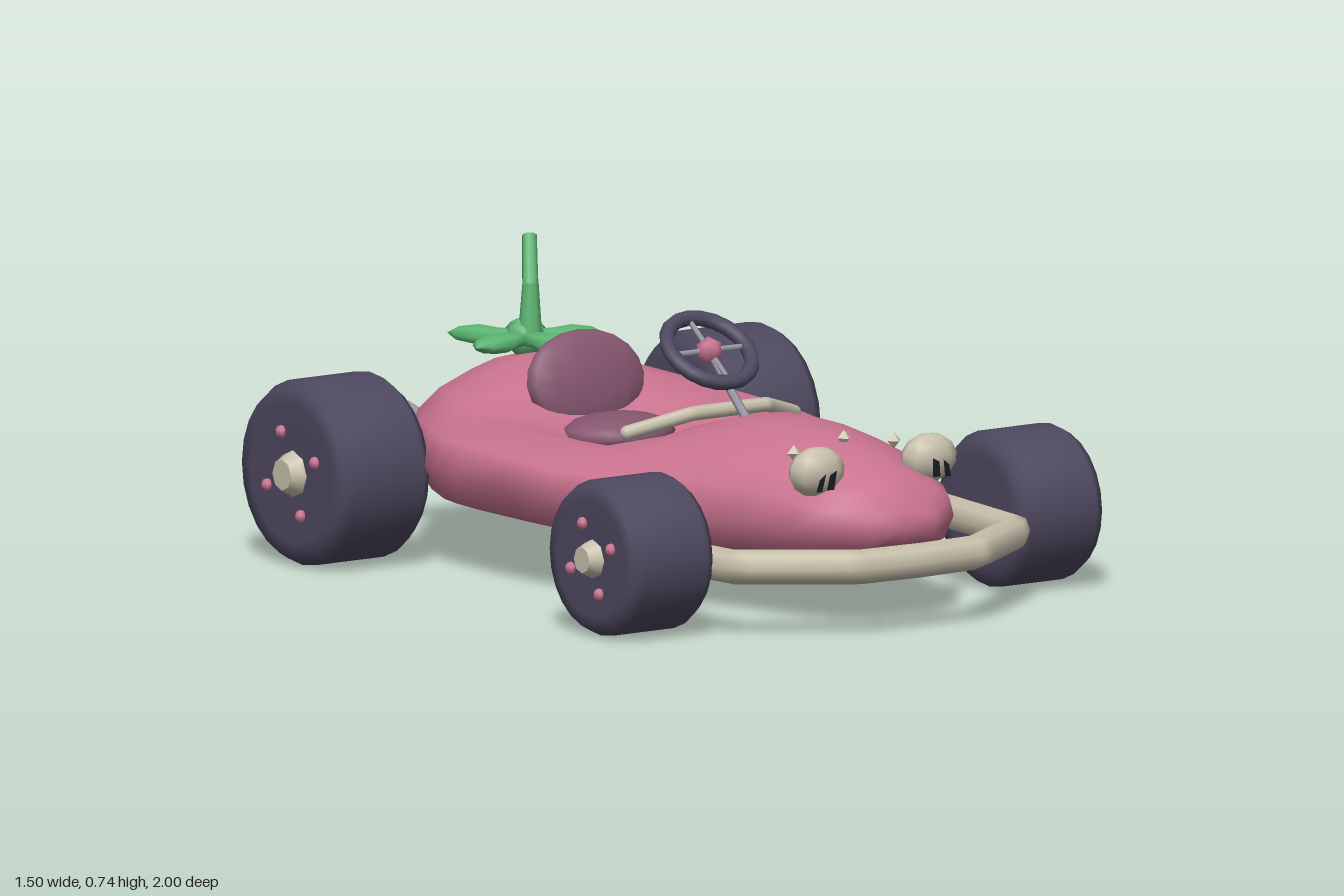
import * as THREE from 'three';

const mat = (name, color, side = THREE.FrontSide) => {
  const m = new THREE.MeshStandardMaterial({ color, side });
  m.name = name;
  return m;
};
const V = (x, y, z) => new THREE.Vector3(x, y, z);

export function createModel() {
  const kart = new THREE.Group();
  kart.name = 'fruitKart';
  const pink = mat('berry pink', 0xc9738f);
  const rubber = mat('dark rubber', 0x4e485f);
  const cream = mat('cream', 0xc8c0ac);
  const plum = mat('plum', 0x85566f);
  const green = mat('leaf green', 0x5cb572);
  const steel = mat('steel', 0x9a98a4, THREE.DoubleSide);
  const black = mat('pupil black', 0x1e1c26, THREE.DoubleSide);

  const add = (name, geo, material, parent = kart, x = 0, y = 0, z = 0) => {
    const m = new THREE.Mesh(geo, material);
    m.name = name;
    m.position.set(x, y, z);
    parent.add(m);
    return m;
  };
  // straight tapered rod between two points
  const rod = (name, a, b, r1, r2, material, parent = kart, sides = 8, open = false) => {
    const m = add(name, new THREE.CylinderGeometry(r2, r1, a.distanceTo(b), sides, 1, open), material, parent);
    m.position.copy(a).lerp(b, 0.5);
    m.quaternion.setFromUnitVectors(V(0, 1, 0), b.clone().sub(a).normalize());
    return m;
  };
  // bent bar, mirrored about x = 0, with closed ends
  const bar = (name, half, r) => {
    const pts = [...half.map(p => V(-p[0], p[1], p[2])), ...half.slice(0, -1).reverse().map(p => V(...p))];
    const curve = new THREE.CatmullRomCurve3(pts, false, 'catmullrom', 0);
    add(name, new THREE.TubeGeometry(curve, 48, r, 8), cream);
    for (const p of [pts[0], pts[pts.length - 1]]) add(name + 'End', new THREE.SphereGeometry(r, 8, 6), cream, kart, p.x, p.y, p.z);
  };

  // body: cross-sections [z, half width, bottom, widest height, shoulder, centre top]
  const sections = [
    [-0.91, 0.06, 0.20, 0.25, 0.29, 0.30],
    [-0.85, 0.18, 0.16, 0.27, 0.35, 0.38],
    [-0.72, 0.32, 0.14, 0.27, 0.39, 0.45],
    [-0.58, 0.42, 0.13, 0.27, 0.40, 0.475],
    [-0.46, 0.475, 0.13, 0.26, 0.39, 0.44],
    [-0.39, 0.49, 0.13, 0.26, 0.38, 0.35],
    [-0.30, 0.498, 0.13, 0.26, 0.38, 0.30],
    [-0.10, 0.498, 0.13, 0.26, 0.375, 0.29],
    [0.05, 0.478, 0.13, 0.25, 0.36, 0.33],
    [0.15, 0.44, 0.13, 0.25, 0.36, 0.41],
    [0.30, 0.38, 0.13, 0.25, 0.375, 0.45],
    [0.45, 0.325, 0.135, 0.25, 0.385, 0.458],
    [0.60, 0.275, 0.145, 0.25, 0.38, 0.44],
    [0.75, 0.235, 0.165, 0.25, 0.355, 0.40],
    [0.84, 0.185, 0.18, 0.255, 0.33, 0.36],
    [0.89, 0.10, 0.21, 0.25, 0.28, 0.29],
  ];
  const pos = [], idx = [];
  for (const [z, w, b, m, s, c] of sections) {
    const half = [[0, b], [0.55, b + 0.005], [0.85, b + 0.3 * (m - b)], [1, m], [0.93, m + 0.6 * (s - m)],
      [0.72, s], [0.42, s + 0.6 * (c - s)], [0.2, s + 0.92 * (c - s)], [0, c]];
    const ring = [...half, ...half.slice(1, -1).reverse().map(([x, y]) => [-x, y])];
    ring.forEach(([x, y]) => pos.push(x * w, y, z));
  }
  const N = 16, last = sections.length - 1;
  for (let i = 0; i < last; i++) for (let j = 0; j < N; j++) {
    const a = i * N + j, b = i * N + (j + 1) % N;
    idx.push(a, b, a + N, b, b + N, a + N);
  }
  pos.push(0, 0.25, -0.92, 0, 0.25, 0.895);
  const tail = (last + 1) * N;
  for (let j = 0; j < N; j++) {
    const k = (j + 1) % N;
    idx.push(tail, k, j, tail + 1, last * N + j, last * N + k);
  }
  const body = new THREE.BufferGeometry();
  body.setAttribute('position', new THREE.Float32BufferAttribute(pos, 3));
  body.setIndex(idx);
  body.computeVertexNormals();
  add('body', body, pink);

  // wheels: tyre, hub and four lugs
  const wheel = (name, side, x, y, z, r, w) => {
    const g = new THREE.Group();
    g.name = name;
    g.position.set(side * x, y, z);
    if (side < 0) g.rotation.y = Math.PI;
    kart.add(g);
    const profile = [[0, -w], [0.7 * r, -w], [0.9 * r, -w * 0.97], [r, -w * 0.75], [r, w * 0.75],
      [0.92 * r, w * 0.97], [0.75 * r, w], [0.3 * r, w * 0.96], [0, w * 0.96]].map(p => new THREE.Vector2(...p));
    add('tyre', new THREE.LatheGeometry(profile, 24), rubber, g).rotation.z = -Math.PI / 2;
    add('hub', new THREE.CylinderGeometry(r * 0.17, r * 0.27, 0.04, 8), cream, g, w + 0.008).rotation.z = -Math.PI / 2;
    for (let i = 0; i < 4; i++) {
      const a = 1.18 + i * Math.PI / 2;
      add('lug', new THREE.SphereGeometry(0.016, 6, 5), pink, g, w, Math.sin(a) * r * 0.47, Math.cos(a) * r * 0.47);
    }
  };
  for (const s of [1, -1]) {
    wheel('rearWheel', s, 0.585, 0.235, -0.66, 0.228, 0.135);
    wheel('frontWheel', s, 0.582, 0.2, 0.565, 0.192, 0.122);
  }

  // bumpers and windscreen rail
  bar('frontBumper', [[0.455, 0.18, 0.43], [0.42, 0.18, 0.77], [0.17, 0.18, 0.945], [0, 0.18, 0.955]], 0.043);
  bar('rearBumper', [[0.44, 0.2, -0.76], [0.455, 0.2, -0.9], [0.2, 0.2, -0.955], [0, 0.2, -0.955]], 0.042);
  bar('windscreenRail', [[0.25, 0.395, 0.085], [0.11, 0.44, 0.165], [0, 0.44, 0.165]], 0.018);

  // seat
  const base = add('seatBase', new THREE.SphereGeometry(1, 14, 10), plum, kart, 0, 0.315, -0.3);
  base.scale.set(0.15, 0.05, 0.12);
  const back = add('seatBack', new THREE.SphereGeometry(1, 14, 10), plum, kart, 0, 0.425, -0.435);
  back.scale.set(0.175, 0.125, 0.042);
  back.rotation.x = -0.25;

  // steering wheel
  const steer = new THREE.Group();
  steer.name = 'steeringWheel';
  steer.position.set(0, 0.572, 0.08);
  steer.rotation.x = -0.927;
  kart.add(steer);
  add('steeringRim', new THREE.TorusGeometry(0.111, 0.019, 8, 20), rubber, steer);
  rod('spoke', V(-0.105, 0, 0), V(0.105, 0, 0), 0.007, 0.007, steel, steer, 6);
  rod('spoke', V(0, -0.105, 0), V(0, 0.105, 0), 0.007, 0.007, steel, steer, 6);
  add('steeringHub', new THREE.OctahedronGeometry(0.034, 1), pink, steer);
  rod('steeringColumn', V(0, 0.42, 0.24), V(0, 0.56, 0.09), 0.012, 0.009, steel, kart, 6);

  // eye headlights with slit pupils, and exhausts
  for (const s of [1, -1]) {
    const eye = new THREE.Group();
    eye.name = 'headlight';
    eye.position.set(s * 0.168, 0.388, 0.758);
    eye.rotation.x = 0.12;
    kart.add(eye);
    add('eyeball', new THREE.SphereGeometry(1, 9, 7), cream, eye).scale.set(0.078, 0.062, 0.05);
    const slit = pts => new THREE.ShapeGeometry(new THREE.Shape(pts.map(p => new THREE.Vector2(s * p[0], p[1]))));
    add('pupilSlit', slit([[-0.024, 0.014], [-0.004, 0.004], [0.002, -0.034], [-0.02, -0.034]]), black, eye, 0, 0, 0.052);
    add('pupilSlit', slit([[0.008, 0.008], [0.026, -0.006], [0.034, -0.036], [0.016, -0.036]]), black, eye, 0, 0, 0.052);
    rod('exhaust', V(s * 0.145, 0.25, -0.82), V(s * 0.16, 0.285, -0.99), 0.026, 0.037, steel, kart, 6, true);
  }

  // seeds on the nose
  for (const x of [-0.15, 0, 0.15])
    add('seed', new THREE.OctahedronGeometry(0.02), cream, kart, x, x ? 0.415 : 0.437, 0.64);

  // leafy crown with a bent stalk
  const leaf = new THREE.LatheGeometry(
    [[0, 0], [0.04, 0.02], [0.038, 0.07], [0.05, 0.12], [0.034, 0.17], [0, 0.2]].map(p => new THREE.Vector2(...p)), 8);
  leaf.scale(1, 1, 0.5);
  leaf.rotateX(Math.PI / 2);
  for (let i = 0; i < 5; i++) {
    const m = add('leaf', leaf, green, kart, 0, 0.495, -0.685);
    m.rotation.y = i * Math.PI * 0.4;
  }
  add('crown', new THREE.SphereGeometry(0.05, 8, 6), green, kart, 0, 0.495, -0.685);
  rod('stalkLower', V(0, 0.5, -0.665), V(0.005, 0.63, -0.67), 0.03, 0.02, green);
  rod('stalkUpper', V(0.003, 0.62, -0.668), V(0.045, 0.735, -0.73), 0.02, 0.018, green);
  return kart;
}
